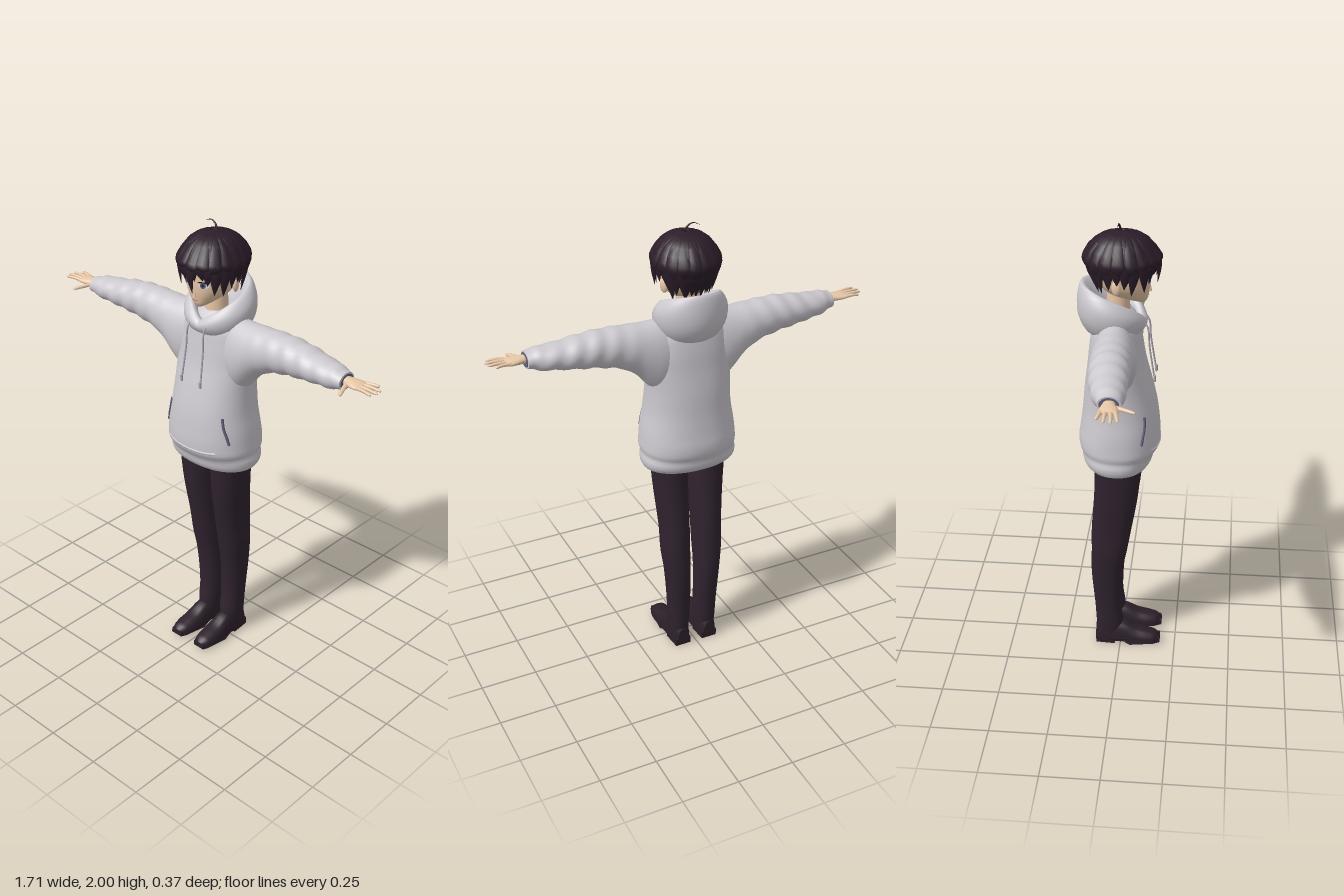
import * as THREE from 'three';

const V = (x, y, z) => new THREE.Vector3(x, y, z);
const mat = (name, color) => Object.assign(new THREE.MeshStandardMaterial({ color }), { name });

// Smooth lookup of rows [key, ...values]
const spline = rows => {
  const f = new THREE.CubicInterpolant(rows.map(r => r[0]), rows.flatMap(r => r.slice(1)), rows[0].length - 1);
  return t => [...f.evaluate(t)];
};
// Unit superellipse with n points; p below 1 is squarer
const oval = (n, p = 1) => Array.from({ length: n }, (_, i) => {
  const a = i / n * Math.PI * 2, c = Math.cos(a), s = Math.sin(a);
  return [Math.sign(c) * Math.abs(c) ** p, Math.sign(s) * Math.abs(s) ** p];
});
const steps = (a, b, n) => Array.from({ length: n + 1 }, (_, i) => a + (b - a) * i / n);

// Skin closed rings, cap both ends, and turn the faces outward
function loft(rings, caps = true) {
  const n = rings[0].length, pos = rings.flat().flatMap(v => v.toArray()), idx = [];
  for (let r = 0; r < rings.length - 1; r++) for (let i = 0; i < n; i++) {
    const a = r * n + i, b = r * n + (i + 1) % n;
    idx.push(a, b, b + n, a, b + n, a + n);
  }
  if (caps) [rings[0], rings[rings.length - 1]].forEach((ring, k) => {
    const base = pos.length / 3, mid = V(0, 0, 0);
    ring.forEach(v => { mid.addScaledVector(v, 1 / n); pos.push(...v.toArray()); });
    pos.push(...mid.toArray());
    for (let i = 0; i < n; i++) {
      const a = base + i, b = base + (i + 1) % n;
      k ? idx.push(a, b, base + n) : idx.push(b, a, base + n);
    }
  });
  const at = i => V().fromArray(pos, i * 3);
  let volume = 0;
  for (let i = 0; i < idx.length; i += 3) volume += at(idx[i]).dot(at(idx[i + 1]).cross(at(idx[i + 2])));
  if (volume < 0) idx.reverse();
  const g = new THREE.BufferGeometry();
  g.setAttribute('position', new THREE.Float32BufferAttribute(pos, 3));
  g.setIndex(idx);
  g.computeVertexNormals();
  return g;
}
// Upright form from a lookup giving [cx, cz, rx, rz]
const upright = (f, y0, y1, n, seg = 32, p = 1) => loft(steps(y0, y1, n).map(y => {
  const [cx, cz, rx, rz] = f(y);
  return oval(seg, p).map(([c, s]) => V(cx + rx * c, y, cz + rz * s));
}));
const tube = (pts, r, n = 20) => new THREE.TubeGeometry(new THREE.CatmullRomCurve3(pts), n, r, 8, false);
// Tapering blade or finger along a curve; radial sets the thin direction
function blade(pts, radial, width, thick, taper, n = 10, seg = 8) {
  const curve = new THREE.CatmullRomCurve3(pts);
  return loft(steps(0, 1, n).map(t => {
    const side = curve.getTangent(t).cross(radial).normalize(), out = side.clone().cross(curve.getTangent(t)).normalize();
    return oval(seg).map(([c, s]) => curve.getPoint(t).addScaledVector(side, c * width * taper(t)).addScaledVector(out, s * thick * taper(t)));
  }));
}

export function createModel() {
  const root = new THREE.Group();
  const M = {
    cloth: mat('hoodieGrey', 0xcbc8ce), cord: mat('cordGrey', 0xaaa7b0), lining: mat('liningBlue', 0x62607c),
    pants: mat('trouserDark', 0x30232f), shoe: mat('shoeDark', 0x2c2029), hair: mat('hairDark', 0x2b1d29),
    skin: mat('skin', 0xeccbab), white: mat('eyeWhite', 0xe9e4e6), iris: mat('irisBlue', 0x566285), lip: mat('lip', 0xb07868),
  };
  M.cloth.side = THREE.DoubleSide;
  const add = (name, geo, m) => { const o = new THREE.Mesh(geo, m); o.name = name; root.add(o); return o; };
  const pair = (name, m, make) => [1, -1].forEach(s => add((s > 0 ? 'left' : 'right') + name, make(s), m));

  // Hoodie body
  const torso = spline([
    [0.94, 0, -0.012, 0.203, 0.135], [0.955, 0, -0.014, 0.21, 0.147], [0.99, 0, -0.013, 0.21, 0.155], [1.0, 0, -0.01, 0.205, 0.158],
    [1.02, 0, -0.008, 0.211, 0.17], [1.06, 0, -0.008, 0.209, 0.174], [1.12, 0, -0.006, 0.203, 0.168], [1.2, 0, -0.006, 0.19, 0.158],
    [1.3, 0, -0.013, 0.184, 0.142], [1.4, 0, -0.02, 0.186, 0.122], [1.5, 0, -0.023, 0.178, 0.108],
    [1.57, 0, -0.022, 0.155, 0.094], [1.61, 0, -0.02, 0.115, 0.075], [1.63, 0, -0.02, 0.07, 0.05]]);
  add('hoodieBody', upright(torso, 0.94, 1.63, 60, 48, 0.9), M.cloth);
  const bodyZ = (x, y) => {
    const [, cz, rx, rz] = torso(y);
    return cz + rz * Math.max(0, 1 - Math.abs(x / rx) ** (2 / 0.9)) ** 0.45;
  };
  add('hemLining', loft([0.936, 0.939].map(y => oval(48, 0.9).map(([c, s]) => V(c * 0.192, y, -0.012 + s * 0.125)))), M.lining);

  // Sleeves [x, top, bottom, back, front], with soft folds
  const sleeve = spline([
    [0.08, 1.615, 1.3, -0.105, 0.06], [0.15, 1.614, 1.3, -0.112, 0.075], [0.19, 1.612, 1.335, -0.11, 0.077], [0.23, 1.612, 1.382, -0.106, 0.074],
    [0.3, 1.614, 1.43, -0.1, 0.07], [0.4, 1.614, 1.458, -0.094, 0.068], [0.5, 1.603, 1.472, -0.085, 0.068],
    [0.58, 1.59, 1.482, -0.07, 0.068], [0.65, 1.584, 1.49, -0.052, 0.066], [0.67, 1.576, 1.497, -0.04, 0.062], [0.695, 1.573, 1.502, -0.032, 0.058]]);
  pair('Sleeve', M.cloth, s => loft(steps(0.08, 0.695, 60).map(x => {
    const [t, b, zb, zf] = sleeve(x);
    return oval(28).map(([c, k], i) => {
      const w = 1 + 0.035 * Math.min(1, Math.max(0, (x - 0.2) * 5)) * Math.sin(x * 75 + Math.sin(i / 28 * 6.283) * 2.2);
      return V(s * x, (t + b) / 2 + (t - b) / 2 * k * w, (zf + zb) / 2 + (zf - zb) / 2 * c * w);
    });
  })));
  pair('CuffLining', M.lining, s => loft([0.695, 0.698].map(x => oval(24).map(([c, k]) => V(s * x, 1.5375 + 0.029 * k, 0.013 + 0.038 * c)))));

  // Collapsed hood around the neck; b runs from front (0) to back (1)
  add('hood', loft(steps(0, Math.PI * 2, 56).map(a => {
    const b = (1 - Math.cos(a)) / 2, lift = Math.sqrt(b);
    const p = (rx, zf, zb, yf, yb) => V(rx * Math.sin(a), yf + (yb - yf) * lift, zf + (zb - zf) * b);
    const profile = [p(0.115, 0.085, -0.135, 1.545, 1.535), p(0.15, 0.105, -0.178, 1.57, 1.6), p(0.153, 0.103, -0.183, 1.585, 1.69),
      p(0.118, 0.083, -0.165, 1.6, 1.75), p(0.095, 0.066, -0.135, 1.592, 1.725), p(0.068, 0.055, -0.075, 1.57, 1.62), p(0.07, 0.05, -0.08, 1.55, 1.55)];
    return new THREE.CatmullRomCurve3(profile, true).getPoints(24).slice(0, 24);
  }), false), M.cloth);

  // Pocket openings, drawstrings
  pair('PocketOpening', M.lining, s => tube([[0.143, 1.205], [0.152, 1.16], [0.165, 1.12], [0.174, 1.085]]
    .map(([x, y]) => V(s * x, y, bodyZ(x, y))), 0.006));
  add('pocketFold', tube(steps(-0.13, 0.13, 8).map(x => V(x, 1.035 + 0.3 * x * x, bodyZ(x, 1.035) - 0.003)), 0.006), M.cloth);
  pair('Drawstring', M.cord, s => tube([V(s * 0.04, 1.6, 0.08), V(s * 0.044, 1.57, 0.108), V(s * 0.047, 1.48, 0.118), V(s * 0.053, 1.33, 0.142)], 0.0038));
  pair('StringTip', M.cord, s => new THREE.CapsuleGeometry(0.006, 0.022, 3, 8).translate(s * 0.0525, 1.342, 0.141));

  // Trousers
  const leg = spline([
    [0.05, 0.066, -0.055, 0.042, 0.05], [0.1, 0.066, -0.05, 0.047, 0.06], [0.2, 0.066, -0.058, 0.05, 0.058], [0.4, 0.073, -0.06, 0.056, 0.071],
    [0.5, 0.077, -0.05, 0.062, 0.079], [0.6, 0.077, -0.041, 0.062, 0.087], [0.8, 0.083, -0.018, 0.07, 0.096], [0.98, 0.09, -0.01, 0.077, 0.1]]);
  pair('TrouserLeg', M.pants, s => upright(y => { const r = leg(y); r[0] *= s; return r; }, 0.05, 0.98, 36, 28, 0.9));

  // Shoes: upper [z, top, halfWidth] and a heeled sole
  const upper = spline([[-0.112, 0.085, 0.026], [-0.095, 0.11, 0.038], [-0.04, 0.115, 0.043], [0.02, 0.105, 0.046],
    [0.07, 0.078, 0.049], [0.13, 0.062, 0.046], [0.165, 0.05, 0.034], [0.178, 0.036, 0.018]]);
  pair('ShoeUpper', M.shoe, s => loft(steps(-0.112, 0.178, 28).map(z => {
    const [t, w] = upper(z);
    return oval(20, 0.8).map(([c, k]) => V(s * (0.066 + 0.02 * Math.max(0, z)) + w * c, 0.015 + Math.max(0, k) * (t - 0.015), z));
  })));
  pair('ShoeSole', M.shoe, s => {
    const side = new THREE.Shape([[-0.11, 0], [-0.025, 0], [-0.02, 0.018], [0.02, 0.015], [0.045, 0], [0.15, 0], [0.182, 0.012], [0.18, 0.034], [0.1, 0.032],
      [0, 0.032], [-0.112, 0.034]].map(p => new THREE.Vector2(...p)));
    const g = new THREE.ExtrudeGeometry(side, { depth: 0.096, bevelEnabled: false, steps: 1 }).translate(0, 0, -0.048).rotateY(-Math.PI / 2);
    const p = g.attributes.position;
    for (let i = 0; i < p.count; i++) {
      const z = p.getZ(i), f = z > 0.14 ? 0.6 : z < -0.1 ? 0.75 : z < 0 ? 0.88 : 1;
      p.setX(i, p.getX(i) * f + s * (0.066 + 0.02 * Math.max(0, z)));
    }
    g.computeVertexNormals();
    return g;
  });

  // Hands, palms down
  const palm = spline([[0.67, 0.015, 0.018, 0.025], [0.705, 0.014, 0.017, 0.025], [0.735, 0.016, 0.015, 0.035], [0.765, 0.016, 0.012, 0.038], [0.778, 0.016, 0.008, 0.034]]);
  pair('Palm', M.skin, s => loft(steps(0.67, 0.778, 14).map(x => {
    const [z, ry, rz] = palm(x);
    return oval(16).map(([c, k]) => V(s * x, 1.542 + ry * k, z + rz * c));
  })));
  const fingerTaper = t => t > 0.95 ? 0.35 : 1 - 0.3 * t;
  [[-0.011, -0.022, 0.825], [0.007, 0.006, 0.85], [0.025, 0.033, 0.855], [0.042, 0.058, 0.842]].forEach(([z0, z1, x], i) =>
    pair('Finger' + (i + 1), M.skin, s => blade([V(s * 0.758, 1.543, z0), V(s * 0.8, 1.547, (z0 + z1) / 2), V(s * x, 1.545, z1)], V(0, 1, 0), 0.009, 0.008, fingerTaper)));
  pair('Thumb', M.skin, s => blade([V(s * 0.708, 1.538, 0.025), V(s * 0.722, 1.534, 0.068), V(s * 0.74, 1.53, 0.113)], V(0, 1, 0), 0.011, 0.009, fingerTaper));

  // Neck and head
  add('neck', new THREE.CylinderGeometry(0.045, 0.052, 0.2, 24).translate(0, 1.65, -0.015), M.skin);
  const head = spline([[1.664, 0, 0.082, 0.012, 0.012], [1.675, 0, 0.068, 0.032, 0.035], [1.7, 0, 0.034, 0.062, 0.076], [1.73, 0, 0.016, 0.086, 0.099],
    [1.77, 0, 0.006, 0.098, 0.112], [1.85, 0, 0, 0.103, 0.115], [1.92, 0, -0.005, 0.075, 0.085], [1.945, 0, -0.005, 0.03, 0.035]]);
  add('head', upright(head, 1.664, 1.945, 36, 36, 0.88), M.skin);
  const faceZ = (x, y) => {
    const [, cz, rx, rz] = head(y);
    return cz + rz * Math.max(0, 1 - Math.abs(x / rx) ** (2 / 0.88)) ** 0.44;
  };
  add('nose', new THREE.ConeGeometry(0.009, 0.035, 8).translate(0, 1.728, 0.114), M.skin);
  pair('Ear', M.skin, s => new THREE.SphereGeometry(1, 14, 10).scale(0.012, 0.032, 0.02).rotateY(s * 0.4).translate(s * 0.104, 1.755, -0.015));

  // Flat face details laid on the head
  const decal = (cx, cy, rx, ry, off) => {
    const g = new THREE.ShapeGeometry(new THREE.Shape().absellipse(cx, cy, rx, ry, 0, Math.PI * 2), 14), p = g.attributes.position;
    for (let i = 0; i < p.count; i++) p.setZ(i, faceZ(p.getX(i), p.getY(i)) + off);
    g.computeVertexNormals();
    return g;
  };
  pair('EyeWhite', M.white, s => decal(s * 0.047, 1.77, 0.02, 0.012, 0.004));
  pair('Iris', M.iris, s => decal(s * 0.045, 1.77, 0.011, 0.0125, 0.0055));
  pair('Pupil', M.hair, s => decal(s * 0.045, 1.771, 0.005, 0.007, 0.0065));
  pair('UpperLash', M.hair, s => decal(s * 0.048, 1.783, 0.023, 0.004, 0.0065));
  pair('Brow', M.hair, s => decal(s * 0.047, 1.806, 0.022, 0.003, 0.004));
  add('mouth', decal(0, 1.696, 0.014, 0.002, 0.003), M.lip);

  // Hair cap, low at the nape and high over the face
  add('hairCap', loft(steps(0.04, 1, 18).map(u => oval(40).map(([c, s]) => {
    const phi = u * (1.68 - 0.38 * s - (s < 0 ? 0.22 * s : 0));
    return V(0.126 * Math.sin(phi) * c, 1.835 + 0.125 * Math.cos(phi), -0.004 + 0.145 * Math.sin(phi) * s);
  }))), M.hair);

  // Hair locks [degrees from front, tip height, half width]
  let seed = 7;
  const rand = () => (seed = (seed * 16807) % 2147483647) / 2147483647;
  const locks = [[2, 1.738, 0.022], [-10, 1.785, 0.02], [13, 1.79, 0.02]];
  [1, -1].forEach(s => locks.push([s * 24, 1.797, 0.026], [s * 38, 1.775, 0.026], [s * 52, 1.735, 0.028], [s * 66, 1.728, 0.027],
    [s * 80, 1.755, 0.028], [s * 95, 1.77, 0.03], [s * 110, 1.745, 0.03]));
  for (let a = 122; a <= 238; a += 11) locks.push([a, 1.705 + 0.025 * rand(), 0.03]);
  for (let a = 0; a < 360; a += 20) locks.push([a + 8, (Math.cos(a / 57.3) > 0.4 ? 1.81 : 1.775) + 0.03 * rand(), 0.032]);
  locks.forEach(([deg, tip, w], i) => {
    const a = deg * Math.PI / 180, s = Math.sin(a), c = Math.cos(a), k = c < 0 ? 1 + 0.3 * c * Math.min(1, (1.85 - tip) / 0.14) : 1;
    const p = (rx, rz, y, twist = 0) => V(rx * Math.sin(a + twist), y, rz * Math.cos(a + twist));
    const flare = i >= locks.length - 18 ? 1.04 : 1, turn = (rand() - 0.5) * 0.2;
    add('hairLock' + (i + 1), blade([p(0.015, 0.015, 1.958), p(0.085, 0.095, 1.932), p(0.125 * flare, 0.145 * flare, 1.865),
      p(0.128 * (1 + k) / 2 * flare, 0.15 * (1 + k) / 2 * flare, (1.865 + tip) / 2, turn / 2), p(0.121 * k * flare, 0.143 * k * flare, tip, turn)],
    V(s, 0.35, c), w, 0.011, t => t < 0.6 ? 0.45 + 0.9 * t : Math.max(0.02, 0.99 * (1 - ((t - 0.6) / 0.4) ** 1.5))), M.hair);
  });
  add('strayLock', blade([V(0.008, 1.955, -0.005), V(0, 1.982, -0.01), V(-0.025, 1.996, -0.012), V(-0.06, 1.982, -0.015)], V(0, 0, 1), 0.006, 0.006, t => 1.02 - t), M.hair);
  return root;
}
